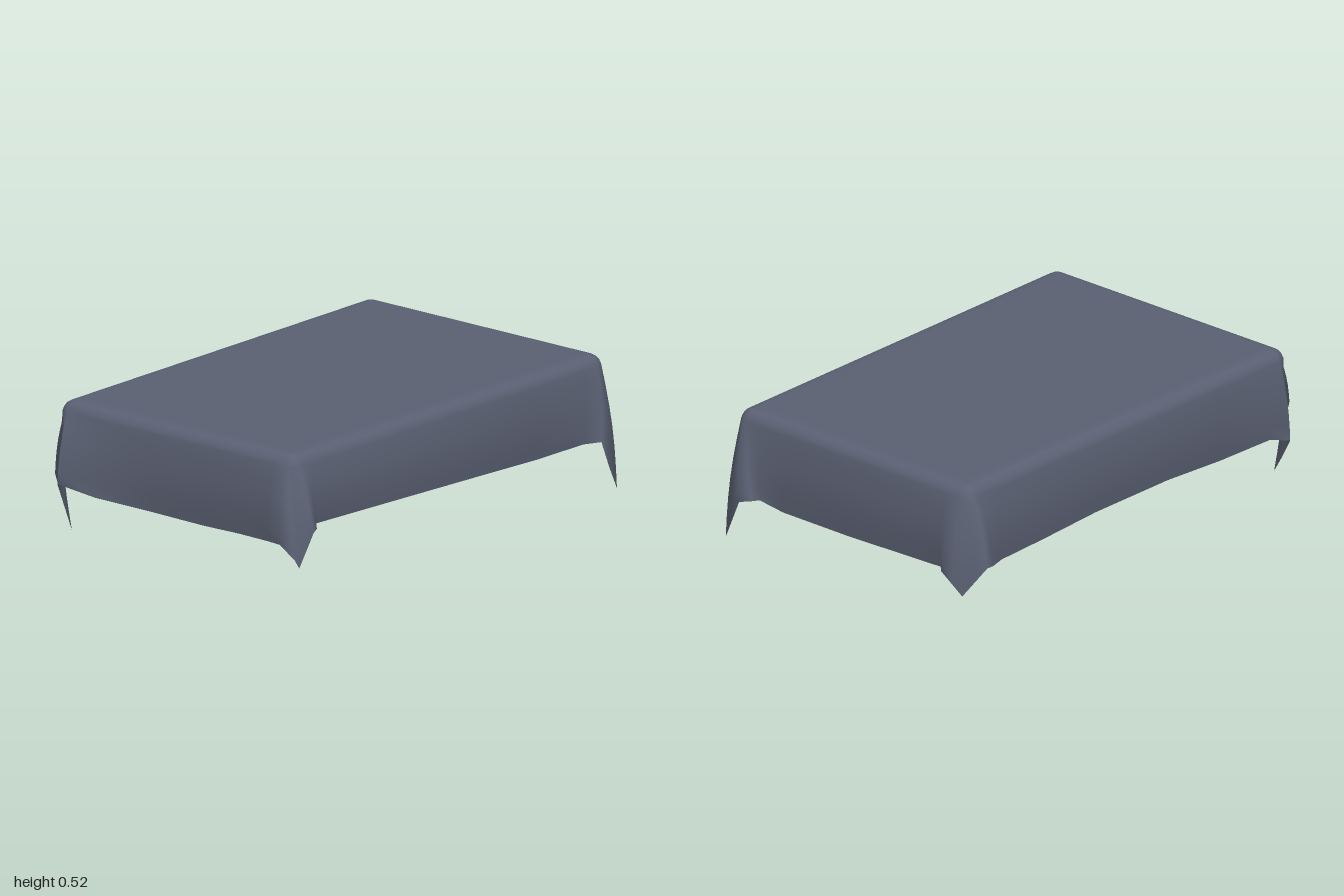
import * as THREE from 'three';

const TOP = 0.522, R = 0.055;

// Hem points [x, y, z], walking front -> left -> back -> right.
// Each wall is followed by the hanging flap at its far corner.
const walls = [
  [[-0.8, 0.25, 0.61], [-0.5, 0.24, 0.605], [-0.2, 0.23, 0.6], [0.2, 0.215, 0.59], [0.5, 0.2, 0.575], [0.77, 0.2, 0.575]],
  [[0.92, 0.19, 0.44], [0.912, 0.17, 0.33], [0.907, 0.165, 0], [0.913, 0.175, -0.3], [0.925, 0.185, -0.47]],
  [[0.75, 0.2, -0.615], [0.5, 0.2, -0.6], [0.2, 0.21, -0.59], [-0.2, 0.21, -0.585], [-0.5, 0.19, -0.575], [-0.77, 0.19, -0.58]],
  [[-0.915, 0.19, -0.36], [-0.892, 0.18, -0.1], [-0.888, 0.175, 0.15], [-0.893, 0.18, 0.33], [-0.91, 0.185, 0.48]],
];
const flaps = [
  [[0.785, 0.22, 0.65], [0.84, 0.11, 0.64], [0.93, 0, 0.6], [0.965, 0.1, 0.535], [1.0, 0.2, 0.47], [0.965, 0.2, 0.44]],
  [[0.98, 0.2, -0.52], [0.965, 0.155, -0.56], [0.95, 0.11, -0.6], [0.925, 0.17, -0.64], [0.9, 0.23, -0.68], [0.85, 0.22, -0.665]],
  [[-0.8, 0.2, -0.655], [-0.83, 0.11, -0.59], [-0.86, 0.02, -0.52], [-0.93, 0.13, -0.495], [-1.0, 0.24, -0.47]],
  [[-0.955, 0.2, 0.58], [-0.94, 0.15, 0.64], [-0.9, 0.105, 0.63], [-0.87, 0.245, 0.675], [-0.835, 0.25, 0.66]],
];

// Each column of the cloth: a point on the table edge, an outward direction and a hem point
function columns() {
  const cols = [];
  const hx = 0.9 - R, hz = 0.585 - R;
  const add = (x, z, angle, hem) => cols.push({
    x: x + 0.01, z: z - 0.014 * x, dx: Math.sin(angle), dz: Math.cos(angle), hem,
  });
  for (let k = 0; k < 4; k++) {
    const base = k * Math.PI / 2;
    for (const p of walls[k]) {
      if (k % 2 === 0) add(THREE.MathUtils.clamp(p[0], -hx, hx), k === 0 ? hz : -hz, base, p);
      else add(k === 1 ? hx : -hx, THREE.MathUtils.clamp(p[2], -hz, hz), base, p);
    }
    const sx = k < 2 ? 1 : -1, sz = k === 0 || k === 3 ? 1 : -1;
    const n = flaps[k].length - 1;
    flaps[k].forEach((p, i) => add(sx * hx, sz * hz, base + i / n * Math.PI / 2, p));
  }
  return cols;
}

function clothGeometry() {
  const cols = columns(), n = cols.length, pos = [0, TOP, 0], index = [];
  const rings = [];
  // flat top, then the rounded edge, then the hanging side
  rings.push(c => [c.x * 0.94, TOP, c.z * 0.94]);
  const arc = 4, drop = 6;
  for (let i = 0; i <= arc; i++) {
    const a = i / arc * 1.35;
    rings.push(c => [c.x + c.dx * R * Math.sin(a), TOP - R * (1 - Math.cos(a)), c.z + c.dz * R * Math.sin(a)]);
  }
  const edge = rings[rings.length - 1];
  for (let i = 1; i <= drop; i++) {
    const t = i / drop, bulge = 0.012 * Math.sin(Math.PI * t);
    rings.push(c => {
      const e = edge(c);
      return [
        THREE.MathUtils.lerp(e[0], c.hem[0], t) + c.dx * bulge,
        THREE.MathUtils.lerp(e[1], c.hem[1], t),
        THREE.MathUtils.lerp(e[2], c.hem[2], t) + c.dz * bulge,
      ];
    });
  }
  rings.forEach(ring => cols.forEach(c => pos.push(...ring(c))));
  for (let j = 0; j < n; j++) {
    const k = (j + 1) % n;
    index.push(0, 1 + j, 1 + k);
    for (let r = 0; r < rings.length - 1; r++) {
      const a = 1 + r * n + j, b = 1 + r * n + k;
      index.push(a, a + n, b + n, a, b + n, b);
    }
  }
  const g = new THREE.BufferGeometry();
  g.setAttribute('position', new THREE.Float32BufferAttribute(pos, 3));
  g.setIndex(index);
  g.computeVertexNormals();
  return g;
}

export function createModel() {
  const group = new THREE.Group();
  group.name = 'tablecloth';
  const cloth = new THREE.Mesh(
    clothGeometry(),
    new THREE.MeshStandardMaterial({ color: 0x5a6072, side: THREE.DoubleSide }),
  );
  cloth.name = 'drapedCloth';
  group.add(cloth);
  return group;
}
